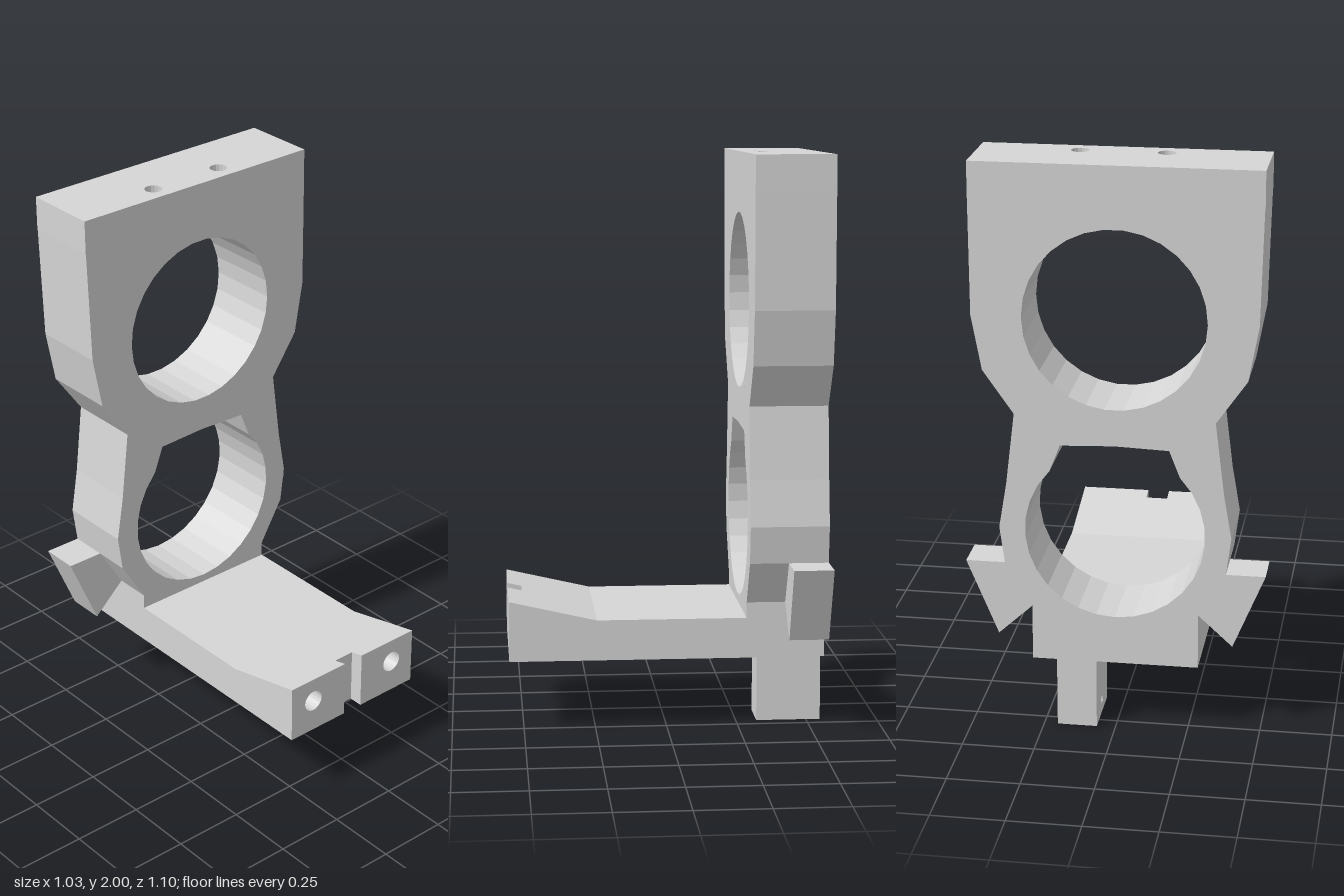
import * as THREE from 'three';

export function createModel() {
  const model = new THREE.Group();
  model.name = 'ringBracket';
  const grey = new THREE.MeshStandardMaterial({ color: 0xd6d6d6 });
  grey.name = 'plainGrey';

  const add = (name, geometry) => {
    const mesh = new THREE.Mesh(geometry, grey);
    mesh.name = name;
    model.add(mesh);
  };
  const rect = (x0, y0, x1, y1) => [[x0, y0], [x1, y0], [x1, y1], [x0, y1]];
  // Points on an arc, angles in degrees
  const arc = (cx, cy, r, a0, a1, n) => Array.from({ length: n + 1 }, (_, i) => {
    const a = THREE.MathUtils.degToRad(a0 + ((a1 - a0) * i) / n);
    return [cx + r * Math.cos(a), cy + r * Math.sin(a)];
  });
  const circle = (cx, cy, r, n) => arc(cx, cy, r, 0, 360, n).slice(0, n);
  // Points wound counter-clockwise, so outer and hole walls face the right way
  const wound = (list) => {
    const points = list.map(([x, y]) => new THREE.Vector2(x, y));
    return THREE.ShapeUtils.isClockWise(points) ? points.reverse() : points;
  };
  const prism = (outline, depth, holes = []) => {
    const shape = new THREE.Shape(wound(outline));
    holes.forEach((h) => shape.holes.push(new THREE.Path(wound(h))));
    return new THREE.ExtrudeGeometry(shape, { depth, bevelEnabled: false });
  };
  // Extrusions along each axis
  const alongZ = (outline, z0, z1, holes) => prism(outline, z1 - z0, holes).translate(0, 0, z0);
  const alongX = (zy, x0, x1, holes) => prism(zy, x1 - x0, holes).rotateY(-Math.PI / 2).translate(x1, 0, 0);
  const alongY = (xz, y0, y1, holes) => {
    const flip = (l) => l.map(([x, z]) => [x, -z]);
    return prism(flip(xz), y1 - y0, holes.map(flip)).rotateX(-Math.PI / 2).translate(0, y0, 0);
  };

  const back = -0.55, face = -0.277, cap = 1.88, base = 0.248, half = 0.287;

  // Upright plate with a round opening above a keyhole-shaped one
  const side = [[0.48, 1.48], [0.445, 1.29], [0.34, 1.14], [0.37, 0.89], [0.397, 0.73],
    [0.38, 0.6], [half, 0.445], [half, base]];
  const mirrored = side.map(([x, y]) => [-x, y]).reverse();
  const plate = [[0.482, cap], ...side, ...mirrored, [-0.491, cap]];
  const keyhole = [...arc(0, 0.727, 0.308, 136, 404, 22), [0.185, 1.035], [0, 1.042], [-0.185, 1.035]];
  add('uprightPlate', alongZ(plate, back, face, [circle(0, 1.478, 0.31, 30), keyhole]));

  // Top of the plate, drilled from above
  add('plateTop', alongY(rect(-0.492, back, 0.482, face), cap, 2,
    [-0.147, 0.142].map((x) => circle(x, -0.345, 0.031, 16))));

  // Side fins at the back
  for (const s of [1, -1]) {
    const fin = [[0.37, 0.6], [0.515, 0.6], [0.405, 0.335], [0.28, 0.45]].map(([x, y]) => [s * x, y]);
    add(s > 0 ? 'leftFin' : 'rightFin', alongZ(fin, back, -0.412));
  }

  // Base tongue that ramps up toward the front
  const rampY = (z) => 0.39 + ((z - 0.245) / 0.305) * 0.07;
  add('baseTongue', alongX([[face, base], [0.4, base], [0.4, rampY(0.4)], [0.245, 0.39], [face, 0.39]], -half, half));
  add('notchBack', alongX([[0.4, base], [0.5, base], [0.5, rampY(0.5)], [0.4, rampY(0.4)]], -0.04, 0.04));

  // Drilled front lugs either side of the notch, tops sloped to the ramp
  for (const s of [1, -1]) {
    const lug = alongZ(rect(s * 0.04, base, s * half, 0.46), 0.4, 0.55,
      [circle(s * 0.187, 0.37, 0.039, 20)]);
    const p = lug.attributes.position;
    for (let i = 0; i < p.count; i++) if (p.getY(i) > 0.45) p.setY(i, rampY(p.getZ(i)));
    lug.computeVertexNormals();
    add(s > 0 ? 'leftLug' : 'rightLug', lug);
  }

  // Foot post with a small pin hole on its inner side
  const foot = rect(back, 0, -0.323, base);
  add('footPost', alongX(foot, 0.12, 0.203));
  add('footPostInner', alongX(foot, 0.065, 0.12, [circle(-0.435, 0.05, 0.015, 12)]));

  return model;
}
